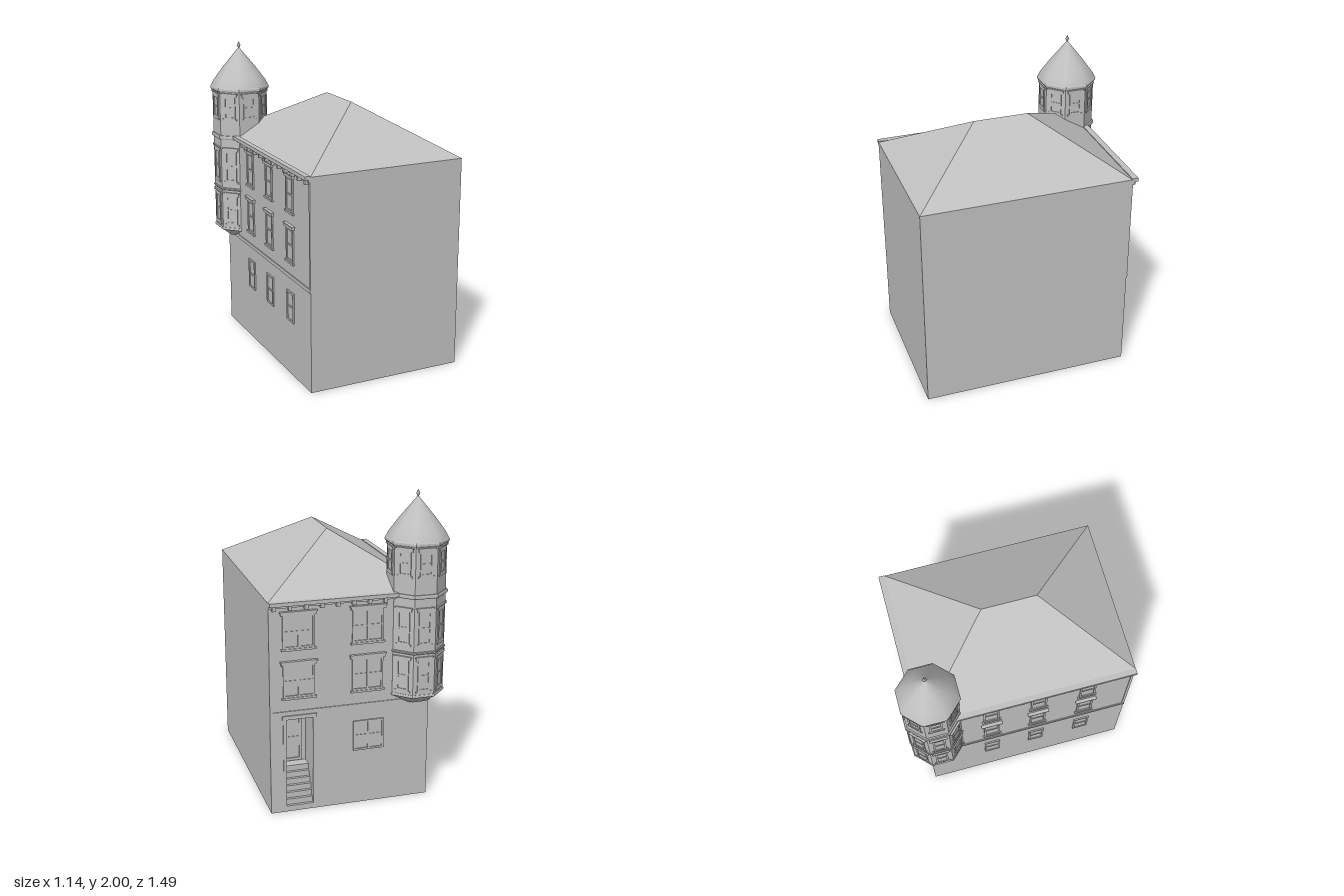
import * as THREE from 'three';

const stone = new THREE.MeshStandardMaterial({ color: 0xc0c0c0 });
stone.name = 'plain grey';

function add(parent, name, geometry, x = 0, y = 0, z = 0) {
  const mesh = new THREE.Mesh(geometry, stone);
  mesh.name = name;
  mesh.position.set(x, y, z);
  parent.add(mesh);
  return mesh;
}
// Box given by its limits on each axis
function block(parent, name, x0, x1, y0, y1, z0, z1) {
  return add(parent, name, new THREE.BoxGeometry(x1 - x0, y1 - y0, z1 - z0),
    (x0 + x1) / 2, (y0 + y1) / 2, (z0 + z1) / 2);
}
function rectPath(Type, x0, x1, y0, y1) {
  const p = new Type();
  p.moveTo(x0, y0); p.lineTo(x1, y0); p.lineTo(x1, y1); p.lineTo(x0, y1); p.closePath();
  return p;
}
// Eight-sided turned part; radii are measured to the flats
function octagon(parent, name, profile, smooth = false) {
  const pts = profile.map(([r, y]) => new THREE.Vector2(r / Math.cos(Math.PI / 8), y));
  let g = new THREE.LatheGeometry(pts, 8, Math.PI / 8);
  if (!smooth) { g = g.toNonIndexed(); g.computeVertexNormals(); }
  return add(parent, name, g);
}

// Window facing +z, origin at its centre: frame, panes, middle rails, sill and hood
function windowUnit(name, w, h, lights, { hood = 0, sill = 0, depth = 0.009, border = 0.012 } = {}) {
  const g = new THREE.Group();
  g.name = name;
  const shape = rectPath(THREE.Shape, -w / 2, w / 2, -h / 2, h / 2);
  const step = (w - border) / lights;
  for (let i = 0; i < lights; i++) {
    const x0 = -w / 2 + border + i * step, x1 = x0 + step - border;
    shape.holes.push(rectPath(THREE.Path, x0, x1, -h / 2 + border, h / 2 - border));
    block(g, 'middleRail', x0, x1, -0.005, 0.005, 0, 0.006);
  }
  add(g, 'frame', new THREE.ExtrudeGeometry(shape, { depth, bevelEnabled: false }));
  add(g, 'pane', new THREE.PlaneGeometry(w, h), 0, 0, 0.002);
  if (hood) {
    block(g, 'hood', -w / 2 - 0.012, w / 2 + 0.012, h / 2, h / 2 + 0.018, 0, hood);
    block(g, 'hoodCap', -w / 2 - 0.018, w / 2 + 0.018, h / 2 + 0.018, h / 2 + 0.026, 0, hood + 0.005);
  }
  if (sill) block(g, 'sill', -w / 2 - 0.01, w / 2 + 0.01, -h / 2 - 0.013, -h / 2, 0, sill);
  return g;
}
function place(parent, unit, x, y, z, turn) {
  unit.position.set(x, y, z);
  unit.rotation.y = turn;
  parent.add(unit);
}

const X0 = -0.465, X1 = 0.57, Z0 = -0.635, Z1 = 0.74, EAVE = 1.38;
const DOOR = { x0: 0.297, x1: 0.468, top: 0.625, back: -0.455 };

function buildWalls(house) {
  block(house, 'mainBlock', X0, X1, 0, EAVE, DOOR.back, Z1);
  // Back part of the house with the entrance cut out
  const s = new THREE.Shape();
  [[X0, 0], [DOOR.x0, 0], [DOOR.x0, DOOR.top], [DOOR.x1, DOOR.top], [DOOR.x1, 0], [X1, 0], [X1, EAVE], [X0, EAVE]]
    .forEach(([x, y], i) => (i ? s.lineTo(x, y) : s.moveTo(x, y)));
  add(house, 'backWall', new THREE.ExtrudeGeometry(s, { depth: DOOR.back - Z0, bevelEnabled: false }), 0, 0, Z0);

  // Belt course and corner boards
  block(house, 'backBelt', X0 - 0.006, X1, 0.655, 0.68, Z0 - 0.006, Z0);
  block(house, 'sideBelt', X0 - 0.006, X0, 0.655, 0.68, Z0, Z1);
  block(house, 'backCornerBoard', X1 - 0.018, X1, 0.68, 1.36, Z0 - 0.004, Z0);
  block(house, 'sideCornerBoard', X0 - 0.004, X0, 0.68, 1.36, Z1 - 0.018, Z1);
}

function buildRoof(house) {
  // Hipped roof: four eave corners and a short ridge
  const a = [X0, EAVE, Z1], b = [X1, EAVE, Z1], c = [X1, EAVE, Z0], d = [X0, EAVE, Z0];
  const f = [0.055, 1.69, 0.235], r = [0.055, 1.69, -0.12];
  const faces = [a, b, f, b, c, r, b, r, f, c, d, r, d, a, f, d, f, r];
  const g = new THREE.BufferGeometry();
  g.setAttribute('position', new THREE.Float32BufferAttribute(faces.flat(), 3));
  g.computeVertexNormals();
  add(house, 'hippedRoof', g);

  // Cornice along the two street sides, carried on brackets
  block(house, 'backCornice', -0.24, X1, 1.362, 1.386, Z0 - 0.04, Z0);
  block(house, 'backCorniceBed', -0.24, X1, 1.345, 1.362, Z0 - 0.014, Z0);
  block(house, 'sideCornice', X0 - 0.036, X0, 1.362, 1.386, -0.42, Z1);
  block(house, 'sideCorniceBed', X0 - 0.012, X0, 1.345, 1.362, -0.42, Z1);
  for (let x = 0.54; x > -0.2; x -= 0.1)
    block(house, 'backBracket', x - 0.011, x + 0.011, 1.332, 1.364, Z0 - 0.03, Z0);
  for (let z = 0.71; z > -0.37; z -= 0.1)
    block(house, 'sideBracket', X0 - 0.028, X0, 1.332, 1.364, z - 0.011, z + 0.011);
}

function buildWindows(house) {
  const upper = { hood: 0.016, sill: 0.014 };
  // Paired windows on the back
  for (const x of [0.385, -0.055])
    for (const y of [0.875, 1.19])
      place(house, windowUnit('pairedWindow', 0.2, 0.21, 2, upper), x, y, Z0, Math.PI);
  place(house, windowUnit('groundPairedWindow', 0.2, 0.2, 2), -0.065, 0.465, Z0, Math.PI);
  // Single windows on the side
  for (const z of [-0.2, 0.115, 0.44]) {
    for (const y of [0.875, 1.2])
      place(house, windowUnit('sideWindow', 0.105, 0.215, 1, upper), X0, y, z, -Math.PI / 2);
    place(house, windowUnit('groundSideWindow', 0.105, 0.2, 1), X0, 0.465, z, -Math.PI / 2);
  }
}

function buildEntrance(house) {
  const { x0, x1, top, back } = DOOR, steps = 7, rise = 0.26 / steps, run = 0.13 / steps;
  // Stair rising into the recess
  for (let i = 0; i < steps; i++)
    block(house, 'step', x0, x1, i * rise, (i + 1) * rise, Z0 + i * run, back);
  place(house, windowUnit('door', 0.12, 0.32, 1, { border: 0.018 }), (x0 + x1) / 2, 0.425, back, Math.PI);
  // Pilasters and lintel around the opening
  for (const [p0, p1] of [[x0 - 0.02, x0], [x1, x1 + 0.02]])
    block(house, 'doorPilaster', p0, p1, 0.28, top, Z0 - 0.007, Z0);
  block(house, 'doorLintel', x0 - 0.025, x1 + 0.025, top, 0.65, Z0 - 0.009, Z0);
}

function buildTower() {
  const t = new THREE.Group();
  t.name = 'cornerTower';
  t.position.set(-0.39, 0, -0.565);
  octagon(t, 'towerWalls', [[0, 0.66], [0.105, 0.66], [0.17, 0.715], [0.17, 1.69]]);
  // Moulded rings between the storeys
  const ring = (name, y, h, r) =>
    octagon(t, name, [[0.165, y - h / 2], [r - 0.003, y - h / 2], [r, y - h / 4], [r, y + h / 4], [r - 0.003, y + h / 2], [0.165, y + h / 2]]);
  ring('baseRing', 0.722, 0.018, 0.176);
  ring('lowerRing', 1.008, 0.016, 0.177);
  ring('upperRing', 1.368, 0.024, 0.182);
  // One window per storey on each side
  for (let i = 0; i < 8; i++) {
    const a = i * Math.PI / 4;
    for (const [y, h] of [[0.858, 0.2], [1.168, 0.21], [1.572, 0.148]]) {
      const u = windowUnit('towerWindow', 0.082, h, 1, { depth: 0.007, hood: 0.007, sill: 0.007 });
      place(t, u, Math.sin(a) * 0.17, y, Math.cos(a) * 0.17, a);
    }
  }
  // Eave, curved spire and finial
  octagon(t, 'towerEave', [[0.165, 1.678], [0.178, 1.678], [0.183, 1.686], [0.183, 1.698], [0.178, 1.706], [0.15, 1.706]]);
  octagon(t, 'towerSpire', [[0.179, 1.704], [0.163, 1.738], [0.14, 1.772], [0.1, 1.83], [0.05, 1.895], [0.004, 1.955]], true);
  const finial = [[0.004, 1.945], [0.006, 1.958], [0.014, 1.973], [0.006, 1.986], [0, 2]].map(([r, y]) => new THREE.Vector2(r, y));
  add(t, 'finial', new THREE.LatheGeometry(finial, 4));
  return t;
}

export function createModel() {
  const house = new THREE.Group();
  house.name = 'townhouse';
  buildWalls(house);
  buildRoof(house);
  buildWindows(house);
  buildEntrance(house);
  house.add(buildTower());
  return house;
}
